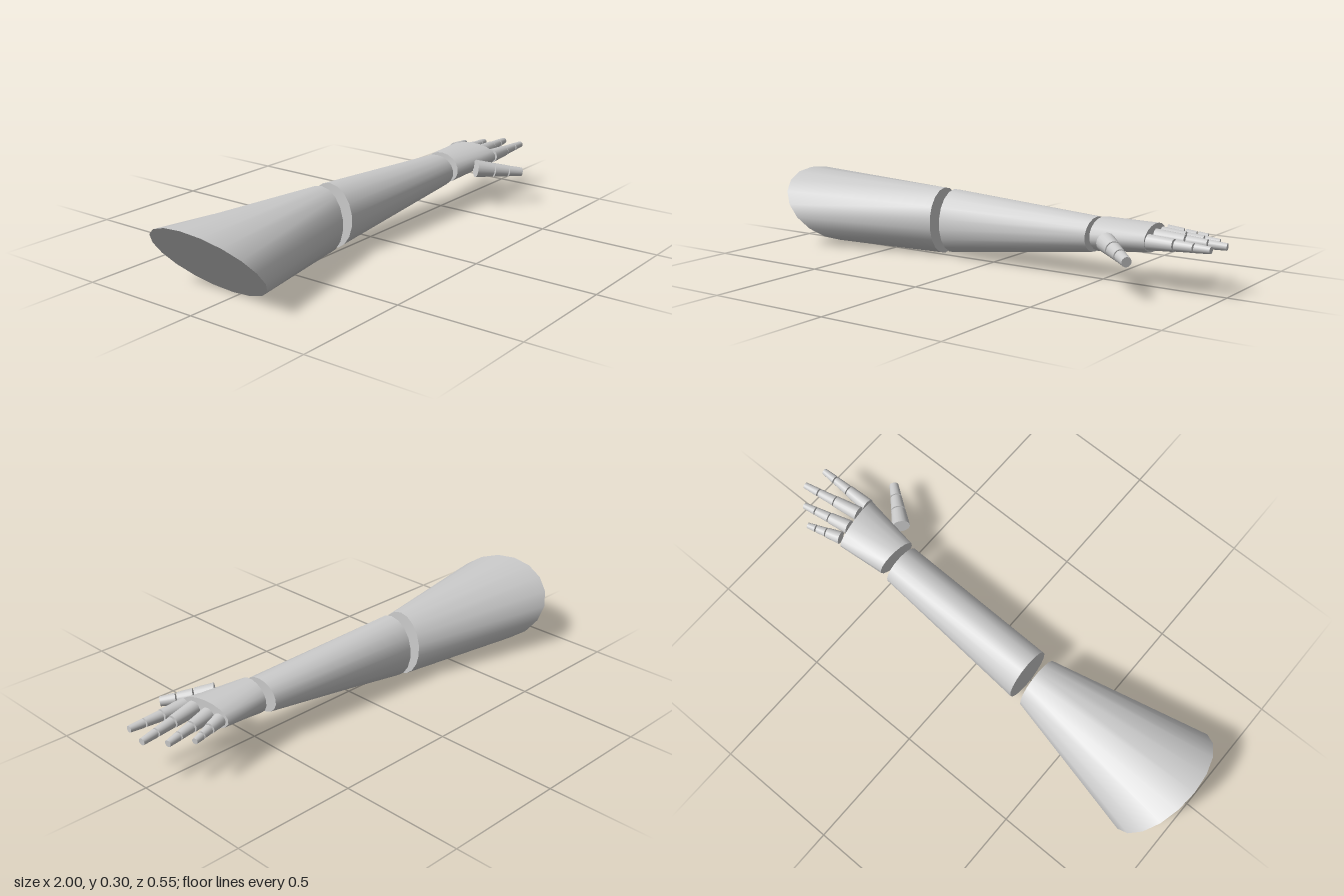
import * as THREE from 'three';

const SIDES = 18;
const material = new THREE.MeshStandardMaterial({ color: 0xcccccc });

// Ring across the arm: centre c, half height ry, half width rz, slants of x along y and z.
function ringPoints({ c, ry, rz, slantY = 0, slantZ = 0 }) {
  const points = [];
  for (let i = 0; i < SIDES; i++) {
    const a = (i / SIDES) * Math.PI * 2;
    const dy = Math.cos(a) * ry, dz = Math.sin(a) * rz;
    points.push([c[0] + dy * slantY + dz * slantZ, c[1] + dy, c[2] + dz]);
  }
  return points;
}

// Closed elliptical sleeve between two rings, smooth sides with crisp flat ends.
function sleeve(name, start, end) {
  const a = ringPoints(start), b = ringPoints(end);
  const positions = [...a, ...b, ...a, ...b, start.c, end.c].flat();
  const index = [];
  for (let i = 0; i < SIDES; i++) {
    const j = (i + 1) % SIDES;
    index.push(i, j, SIDES + i, j, SIDES + j, SIDES + i);
    index.push(4 * SIDES, 2 * SIDES + j, 2 * SIDES + i);
    index.push(4 * SIDES + 1, 3 * SIDES + i, 3 * SIDES + j);
  }
  const geometry = new THREE.BufferGeometry();
  geometry.setAttribute('position', new THREE.Float32BufferAttribute(positions, 3));
  geometry.setIndex(index);
  geometry.computeVertexNormals();
  const mesh = new THREE.Mesh(geometry, material);
  mesh.name = name;
  return mesh;
}

// Three tapered segments in a row, with narrow gaps at the joints.
function digit(name, base, tip, radii, breaks) {
  const group = new THREE.Group();
  group.name = name;
  const from = new THREE.Vector3(...base), to = new THREE.Vector3(...tip);
  const direction = to.clone().sub(from);
  const length = direction.length();
  direction.normalize();
  const stops = [0, ...breaks, 1];
  const gap = 0.006;
  radii.forEach(([r0, r1], i) => {
    const s = stops[i] * length + (i > 0 ? gap / 2 : 0);
    const e = stops[i + 1] * length - (i < 2 ? gap / 2 : 0);
    const mesh = new THREE.Mesh(new THREE.CylinderGeometry(r1, r0, e - s, SIDES), material);
    mesh.name = name + 'Segment' + (i + 1);
    mesh.position.copy(from).addScaledVector(direction, (s + e) / 2);
    mesh.quaternion.setFromUnitVectors(new THREE.Vector3(0, 1, 0), direction);
    group.add(mesh);
  });
  return group;
}

export function createModel() {
  const arm = new THREE.Group();
  arm.name = 'arm';

  // Upper arm with its sloping shoulder cut, then the forearm and palm
  arm.add(
    sleeve('upperArm',
      { c: [-0.88, 0.149, -0.03], ry: 0.148, rz: 0.252, slantY: -0.82 },
      { c: [-0.265, 0.137, -0.031], ry: 0.136, rz: 0.104 }),
    sleeve('forearm',
      { c: [-0.215, 0.141, -0.029], ry: 0.131, rz: 0.106 },
      { c: [0.465, 0.168, -0.003], ry: 0.067, rz: 0.086, slantY: 0.04 }),
    sleeve('palm',
      { c: [0.497, 0.175, 0.004], ry: 0.065, rz: 0.086, slantZ: -0.09 },
      { c: [0.717, 0.187, 0.01], ry: 0.051, rz: 0.115, slantZ: 0.13 })
  );

  // Fingers
  const fingerRadii = [[0.029, 0.023], [0.021, 0.017], [0.017, 0.013]];
  const fingers = [
    ['indexFinger', [0.738, 0.188, 0.1], [0.98, 0.188, 0.102], 1],
    ['middleFinger', [0.737, 0.199, 0.046], [0.997, 0.185, 0.005], 1.02],
    ['ringFinger', [0.728, 0.195, -0.022], [0.938, 0.182, -0.064], 1],
    ['littleFinger', [0.722, 0.195, -0.079], [0.865, 0.185, -0.121], 0.9],
  ];
  for (const [name, base, tip, scale] of fingers) {
    arm.add(digit(name, base, tip, fingerRadii.map(r => r.map(v => v * scale)), [0.43, 0.74]));
  }

  // Thumb
  arm.add(digit('thumb', [0.578, 0.172, 0.123], [0.735, 0.143, 0.254],
    [[0.037, 0.03], [0.029, 0.024], [0.023, 0.019]], [0.38, 0.7]));

  return arm;
}
